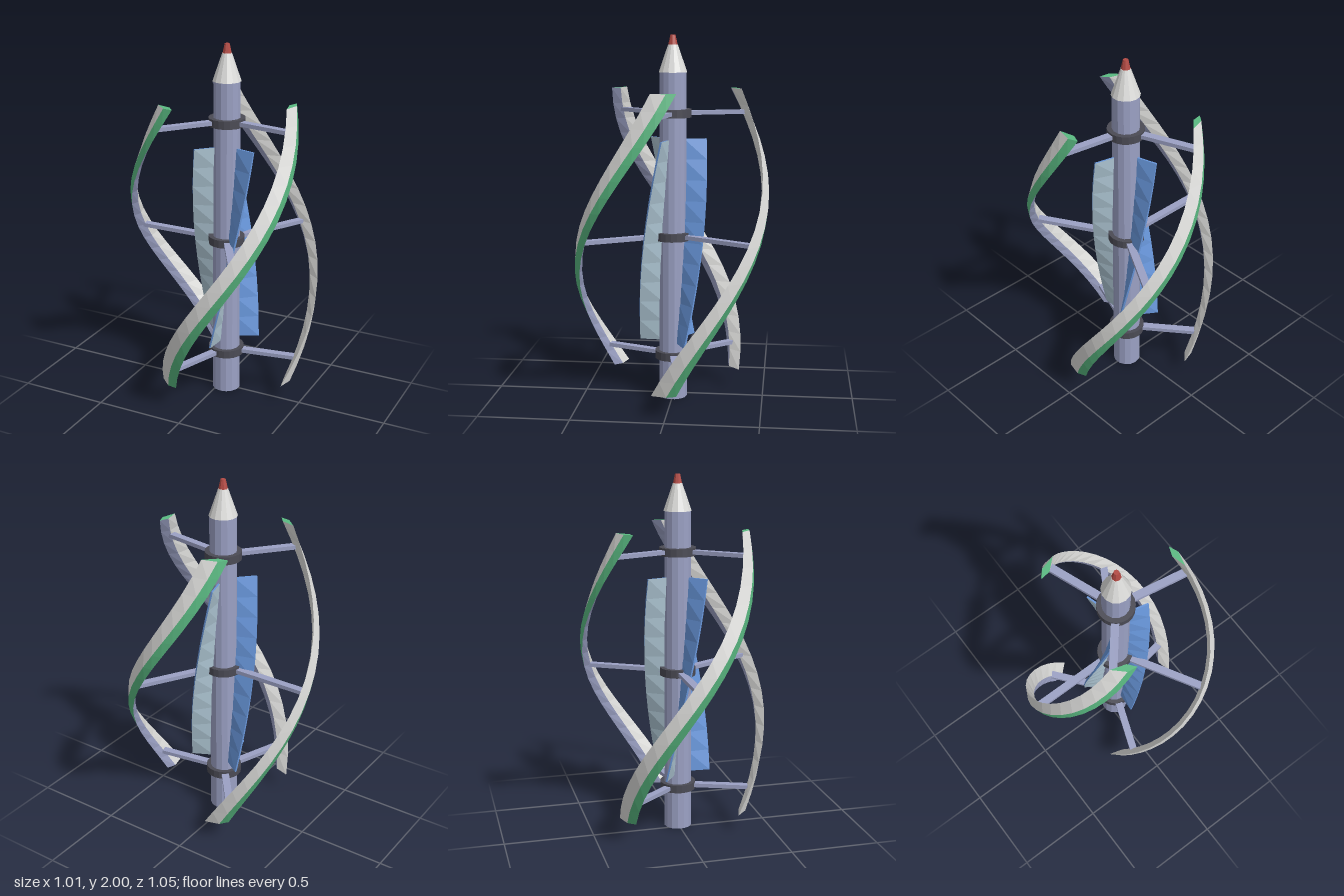
import * as THREE from 'three';

const paint = (name, color) => {
  const m = new THREE.MeshStandardMaterial({ color, flatShading: true });
  m.name = name;
  return m;
};

// Sweep a four-cornered section upwards; section(t) gives { y, angle, corners: [[radius, lead], ...] }.
// mats holds one material per side, then one for the end caps.
function twisted(name, section, steps, mats) {
  const rings = [];
  for (let i = 0; i <= steps; i++) {
    const { y, angle, corners } = section(i / steps);
    const c = Math.cos(angle), s = Math.sin(angle);
    rings.push(corners.map(([r, lead]) => [c * r + s * lead, y, s * r - c * lead]));
  }
  const pos = [];
  const quad = (a, b, c, d) => pos.push(...a, ...b, ...c, ...a, ...c, ...d);
  const geo = new THREE.BufferGeometry();
  for (let k = 0; k < 4; k++) {
    const n = (k + 1) % 4;
    for (let i = 0; i < steps; i++) quad(rings[i][k], rings[i + 1][k], rings[i + 1][n], rings[i][n]);
    geo.addGroup(k * steps * 6, steps * 6, k);
  }
  const top = rings[steps];
  quad(...rings[0]);
  quad(top[0], top[3], top[2], top[1]);
  geo.addGroup(4 * steps * 6, 12, 4);
  geo.setAttribute('position', new THREE.Float32BufferAttribute(pos, 3));
  geo.computeVertexNormals();
  const mesh = new THREE.Mesh(geo, mats);
  mesh.name = name;
  return mesh;
}

export function createModel() {
  const steel = paint('blue grey steel', 0x9ba1c4);
  const white = paint('off white', 0xdcdcda);
  const green = paint('green', 0x5aba82);
  const blue = paint('blue', 0x6896da);
  const pale = paint('pale blue grey', 0xb0c8d6);
  const dark = paint('dark collar', 0x4b4b55);
  const red = paint('red', 0xb44a44);

  const model = new THREE.Group();
  model.name = 'verticalWindTurbine';
  const rotor = new THREE.Group();
  rotor.name = 'rotor';
  rotor.position.x = 0.043;
  model.add(rotor);

  const drum = (name, rTop, rBottom, y0, y1, sides, mat) => {
    const mesh = new THREE.Mesh(new THREE.CylinderGeometry(rTop, rBottom, y1 - y0, sides), mat);
    mesh.position.y = (y0 + y1) / 2;
    mesh.name = name;
    rotor.add(mesh);
  };

  // Mast, nose cone and beacon
  drum('mast', 0.073, 0.078, 0, 1.805, 14, steel);
  drum('noseCone', 0.026, 0.077, 1.803, 1.95, 14, white);
  drum('beacon', 0.014, 0.026, 1.945, 2, 8, red);

  // Main blades: twist a third of a turn and bulge at mid height
  const y0 = 0.12, y1 = 1.71, third = Math.PI * 2 / 3;
  const bladeAngle = (t) => third * (1 - t);
  const bladeRadius = (t) => 0.375 + 0.157 * Math.sin(Math.PI * t);
  for (let b = 0; b < 3; b++) {
    rotor.add(twisted('mainBlade', (t) => {
      const r = bladeRadius(t);
      return {
        y: y0 + (y1 - y0) * t,
        angle: bladeAngle(t) + b * third,
        corners: [[r, 0.057], [r + 0.02, 0.006], [r, -0.077], [r - 0.02, 0.006]],
      };
    }, 18, [green, white, white, steel, green]));
  }

  // Inner vanes: thin radial plates, blue on one side and pale on the other
  for (let v = 0; v < 3; v++) {
    rotor.add(twisted('innerVane', (t) => ({
      y: 0.32 + 1.125 * t,
      angle: THREE.MathUtils.degToRad(94 - 80 * t) + v * third,
      corners: [[0.06, 0.005], [0.185, 0.005], [0.185, -0.005], [0.06, -0.005]],
    }), 10, [pale, blue, blue, blue, blue]));
  }

  // Collars with three struts each, reaching the inside of the blades
  for (const y of [0.245, 0.915, 1.585]) {
    drum('collar', 0.1, 0.1, y - 0.022, y + 0.022, 20, dark);
    const t = (y - y0) / (y1 - y0);
    const inner = 0.06, outer = bladeRadius(t) - 0.013;
    for (let b = 0; b < 3; b++) {
      const arm = new THREE.Group();
      arm.name = 'strut';
      arm.rotation.y = -(bladeAngle(t) + b * third);
      const bar = new THREE.Mesh(new THREE.BoxGeometry(outer - inner, 0.022, 0.042), steel);
      bar.name = 'strutBar';
      bar.position.set((inner + outer) / 2, y, 0);
      arm.add(bar);
      rotor.add(arm);
    }
  }
  return model;
}
